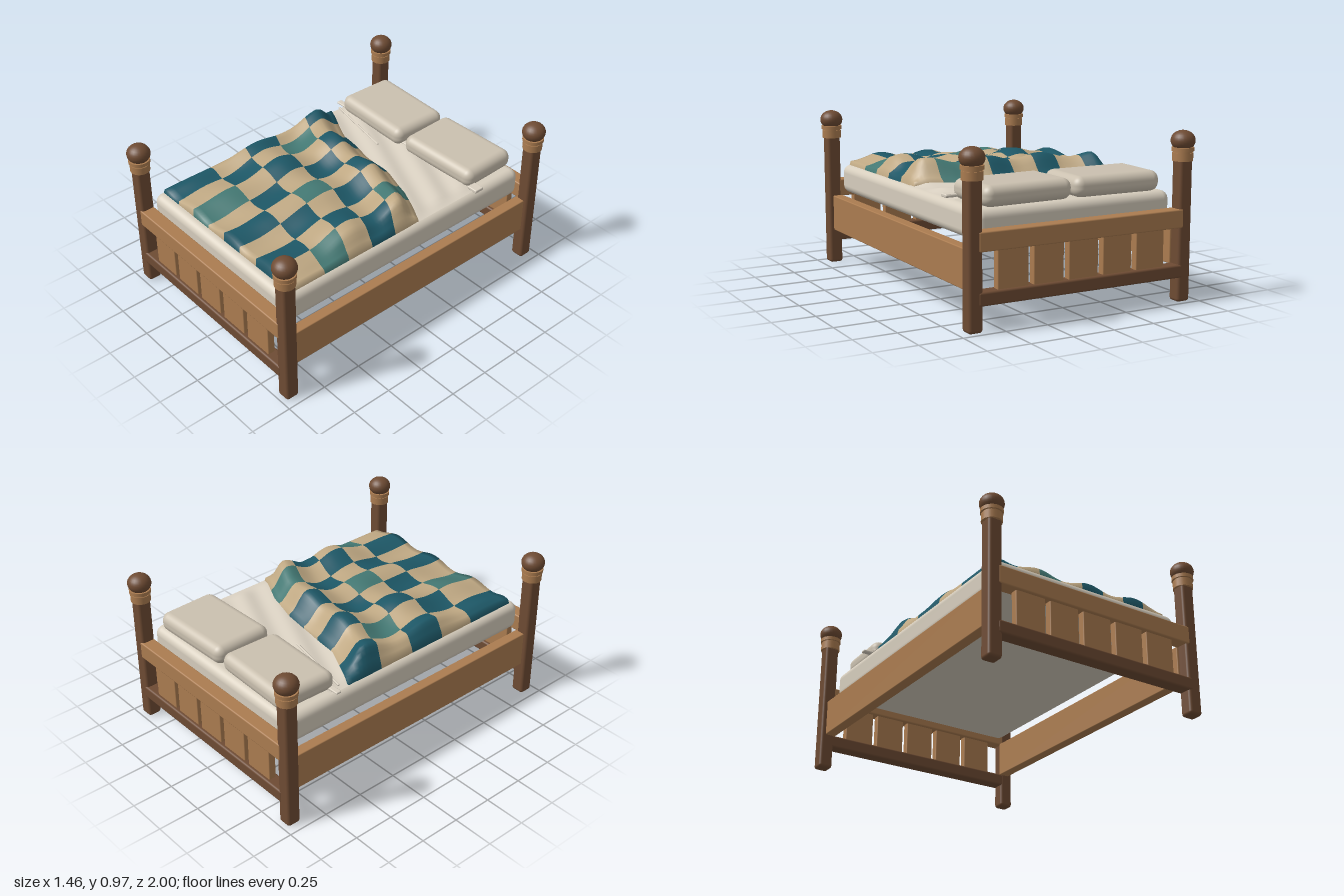
import * as THREE from 'three';
import { RoundedBoxGeometry } from 'three/addons/geometries/RoundedBoxGeometry.js';

const mat = (name, color, side = THREE.FrontSide) => {
  const m = new THREE.MeshStandardMaterial({ color, side });
  m.name = name;
  return m;
};

const lerp = THREE.MathUtils.lerp;
const smooth = THREE.MathUtils.smoothstep;

// Piecewise linear lookup in a list of [position, value] pairs
function sample(points, t) {
  for (let i = 1; i < points.length; i++) {
    const [a, va] = points[i - 1], [b, vb] = points[i];
    if (t <= b) return lerp(va, vb, smooth(t, a, b));
  }
  return points[points.length - 1][1];
}

// Slanted head edge of the blanket
const HEAD_EDGE = [[-0.58, -0.44], [-0.3, -0.31], [-0.05, -0.27], [0.15, -0.255], [0.35, -0.2], [0.58, -0.09]];
// Blanket height from head (0) to foot (1)
const PROFILE = [[0, 0.66], [0.12, 0.765], [0.3, 0.7], [0.47, 0.735], [0.75, 0.69], [1, 0.675]];
const ROWS = [0, 0.19, 0.375, 0.56, 0.745, 1];
const headEdge = (x) => {
  let i = 1;
  while (i < HEAD_EDGE.length - 1 && x > HEAD_EDGE[i][0]) i++;
  const [a, va] = HEAD_EDGE[i - 1], [b, vb] = HEAD_EDGE[i];
  return lerp(va, vb, (x - a) / (b - a));
};

function blanketPoint(u, v) {
  const x0 = lerp(-0.575, 0.575, u);
  const x = x0 - 0.018 * Math.sin(v * Math.PI) * Math.sin(v * 5) * Math.sin(u * Math.PI);
  const z = lerp(headEdge(x0), 0.835, v);
  const side = smooth(0.6 - Math.abs(x0), 0.005, 0.1);
  const wave = 0.016 * Math.cos((x0 - 0.13 + 0.1 * (v - 0.12)) * 18.8)
    + 0.008 * Math.sin(z * 15 + x0 * 5) * smooth(v, 0.2, 0.5);
  const damp = smooth(v, 0, 0.1);
  const y = sample(PROFILE, v) + wave * lerp(0.3, 1, damp);
  return [x, lerp(0.655, y, side), z];
}

// Chequered blanket: one smooth surface, grouped by patch colour, with a turned-down rim
function blanketGeometry() {
  const SUB = 8, cols = 8 * SUB, rows = 5 * SUB, stride = cols + 3;
  const pos = [], lists = [[], [], []];
  const faded = ['1,1', '2,4', '4,2', '6,0', '7,3'];
  for (let j = -1; j <= rows + 1; j++) {
    for (let i = -1; i <= cols + 1; i++) {
      const ci = THREE.MathUtils.clamp(i, 0, cols), cj = THREE.MathUtils.clamp(j, 0, rows);
      const r = Math.min(4, Math.floor(cj / SUB));
      const p = blanketPoint(ci / cols, lerp(ROWS[r], ROWS[r + 1], cj / SUB - r));
      if (i !== ci || j !== cj) {
        p[0] += (i - ci) * 0.008;
        p[1] = 0.632;
        p[2] += (j - cj) * 0.004;
      }
      pos.push(...p);
    }
  }
  for (let j = 0; j < rows + 2; j++) {
    for (let i = 0; i < cols + 2; i++) {
      const c = THREE.MathUtils.clamp(Math.floor((i - 1) / SUB), 0, 7);
      const r = THREE.MathUtils.clamp(Math.floor((j - 1) / SUB), 0, 4);
      const kind = (c + r) % 2 ? 0 : faded.includes(`${c},${r}`) ? 2 : 1;
      const a = j * stride + i, d = a + stride;
      lists[kind].push(a, d, a + 1, a + 1, d, d + 1);
    }
  }
  const g = new THREE.BufferGeometry();
  g.setAttribute('position', new THREE.Float32BufferAttribute(pos, 3));
  g.setIndex(lists.flat());
  let start = 0;
  lists.forEach((l, k) => { g.addGroup(start, l.length, k); start += l.length; });
  g.computeVertexNormals();
  return g;
}

// Wrinkled sheet running from the pillows to under the blanket
function sheetGeometry() {
  const g = new THREE.PlaneGeometry(1, 1, 40, 24);
  g.rotateX(-Math.PI / 2);
  const p = g.attributes.position;
  for (let i = 0; i < p.count; i++) {
    const x = p.getX(i) * 1.17, t = p.getZ(i) + 0.5;
    const z = lerp(-0.57, headEdge(x) + 0.06, t);
    const edge = smooth(0.585 - Math.abs(x), 0, 0.08);
    p.setXYZ(i, x, 0.633 + edge * (0.014 + 0.007 * Math.sin(z * 32 - x * 14)), z);
  }
  g.computeVertexNormals();
  return g;
}

export function createModel() {
  const model = new THREE.Group();
  model.name = 'bed';
  const dark = mat('darkWood', 0x6e4b33);
  const wood = mat('lightWood', 0xab7c50);
  const cream = mat('mattressCream', 0xd6cdbd);
  const linen = mat('pillowLinen', 0xcac0af);
  const sheetMat = mat('sheetWhite', 0xd9d0c1, THREE.DoubleSide);
  const tan = mat('blanketTan', 0xbfa883, THREE.DoubleSide);
  const teal = mat('blanketTeal', 0x1d5766, THREE.DoubleSide);
  const paleTeal = mat('blanketPaleTeal', 0x437873, THREE.DoubleSide);

  const add = (name, geo, material, x, y, z, parent = model) => {
    const m = new THREE.Mesh(geo, material);
    m.name = name;
    m.position.set(x, y, z);
    parent.add(m);
    return m;
  };
  const box = (w, h, d, r, seg = 3) => new RoundedBoxGeometry(w, h, d, seg, r);

  // Corner posts with collars and ball finials
  const postGeo = box(0.084, 0.82, 0.084, 0.018);
  const collarGeo = new THREE.CylinderGeometry(0.058, 0.058, 0.046, 20);
  const neckGeo = new THREE.CylinderGeometry(0.053, 0.053, 0.02, 20);
  const ringGeo = new THREE.CylinderGeometry(0.063, 0.063, 0.022, 20);
  const ballGeo = new THREE.SphereGeometry(0.069, 24, 16).scale(1, 0.83, 1);
  for (const sx of [-1, 1]) {
    for (const sz of [-1, 1]) {
      const post = new THREE.Group();
      post.name = 'cornerPost';
      post.position.set(sx * 0.66, 0, sz * 0.931);
      model.add(post);
      add('post', postGeo, dark, 0, 0.415, 0, post);
      add('collar', collarGeo, wood, 0, 0.823, 0, post);
      add('collarNeck', neckGeo, wood, 0, 0.85, 0, post);
      add('collarRing', ringGeo, wood, 0, 0.865, 0, post);
      add('ballFinial', ballGeo, dark, 0, 0.913, 0, post);
    }
  }

  // Head and foot boards: two rails with slats between
  for (const sz of [-1, 1]) {
    const board = new THREE.Group();
    board.name = sz > 0 ? 'footBoard' : 'headBoard';
    board.position.z = sz * 0.934;
    model.add(board);
    add('topRail', box(1.285, 0.105, 0.085, 0.008), wood, 0, 0.482, 0, board);
    add('bottomRail', box(1.29, 0.075, 0.085, 0.012), dark, 0, 0.183, 0, board);
    for (let i = -2; i <= 2; i++) {
      add('slat', box(0.185, 0.24, 0.045, 0.006), wood, i * 0.2165, 0.325, 0, board);
    }
  }

  // Side rails
  for (const sx of [-1, 1]) {
    add('sideRail', box(0.065, 0.22, 1.8, 0.006), wood, sx * 0.642, 0.325, 0);
  }

  // Mattress and bedding
  add('mattress', box(1.23, 0.176, 1.79, 0.05, 5), cream, 0, 0.543, 0);
  add('sheet', sheetGeometry(), sheetMat, 0, 0, 0);
  add('sheetHem', box(1.25, 0.014, 0.035, 0.006), sheetMat, 0, 0.655, -0.55).rotation.y = 0.008;
  add('sheetHemCorner', box(0.07, 0.02, 0.06, 0.006), sheetMat, 0.59, 0.655, -0.54);
  add('sheetFold', box(0.47, 0.012, 0.012, 0.005), sheetMat, -0.34, 0.655, -0.455).rotation.y = -0.19;
  add('blanket', blanketGeometry(), [tan, teal, paleTeal], 0, 0, 0);

  // Pillows, slightly narrowed toward the rim and turned a little
  for (const sx of [-1, 1]) {
    const g = box(0.545, 0.116, 0.375, 0.05, 5);
    const pillow = add('pillow', g, linen, sx * 0.286, 0.688, -0.69);
    pillow.rotation.y = sx * 0.03;
  }
  return model;
}
